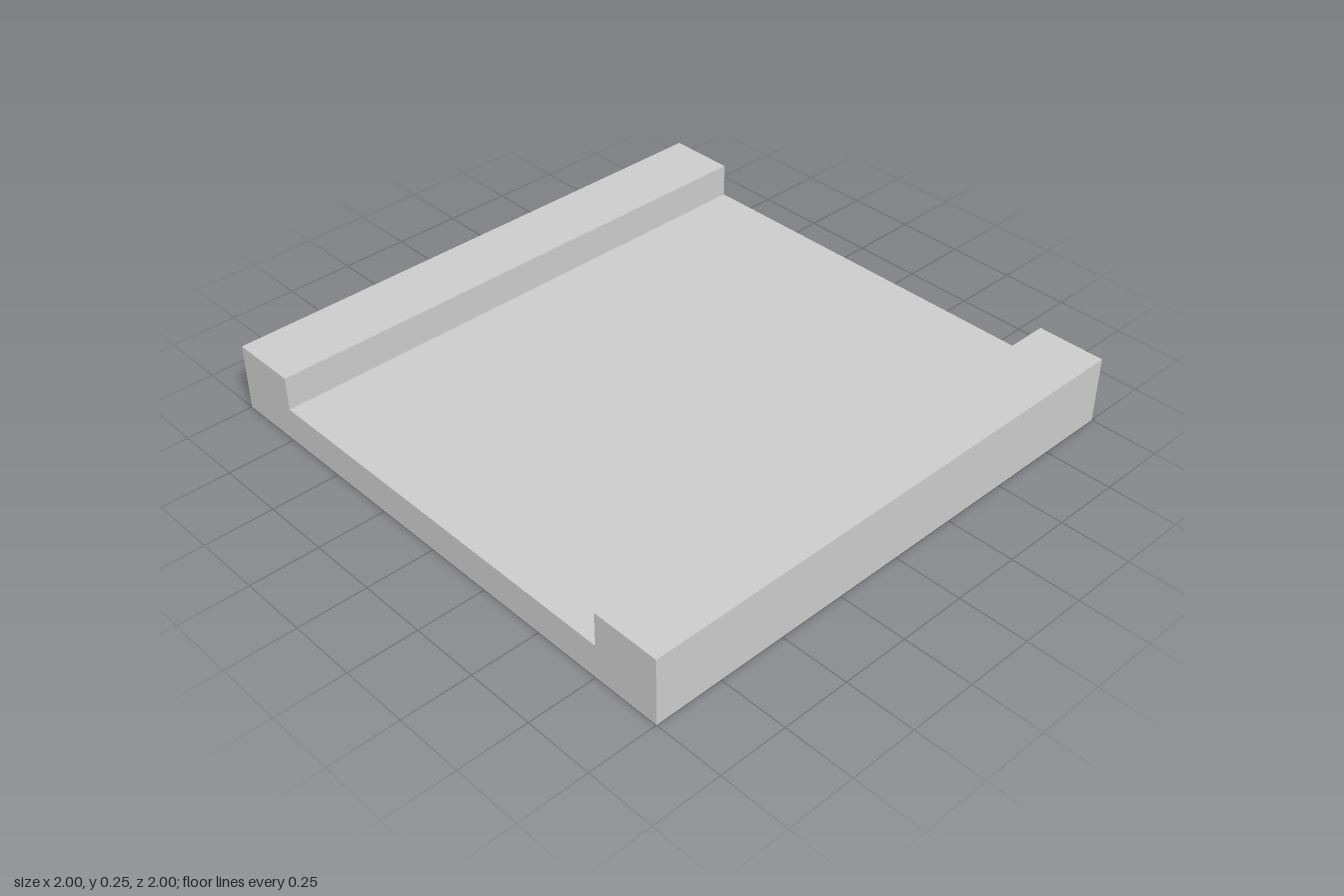
import * as THREE from 'three';

const LENGTH = 2;
const HALF_WIDTH = 1;
const CURB_INNER = 0.75;
const FLOOR_HEIGHT = 0.125;
const CURB_HEIGHT = 0.25;

export function createModel() {
  const model = new THREE.Group();
  model.name = 'curbedSlab';

  // Channel cross-section: flat floor between two raised curbs
  const profile = new THREE.Shape([
    [-HALF_WIDTH, 0],
    [HALF_WIDTH, 0],
    [HALF_WIDTH, CURB_HEIGHT],
    [CURB_INNER, CURB_HEIGHT],
    [CURB_INNER, FLOOR_HEIGHT],
    [-CURB_INNER, FLOOR_HEIGHT],
    [-CURB_INNER, CURB_HEIGHT],
    [-HALF_WIDTH, CURB_HEIGHT],
  ].map(([x, y]) => new THREE.Vector2(x, y)));

  // Run the section from back to front as one solid
  const geometry = new THREE.ExtrudeGeometry(profile, { depth: LENGTH, bevelEnabled: false });
  geometry.translate(0, 0, -LENGTH / 2);

  const slab = new THREE.Mesh(geometry, new THREE.MeshStandardMaterial({ color: 0xcccccc }));
  slab.name = 'slabWithSideCurbs';
  model.add(slab);

  return model;
}
